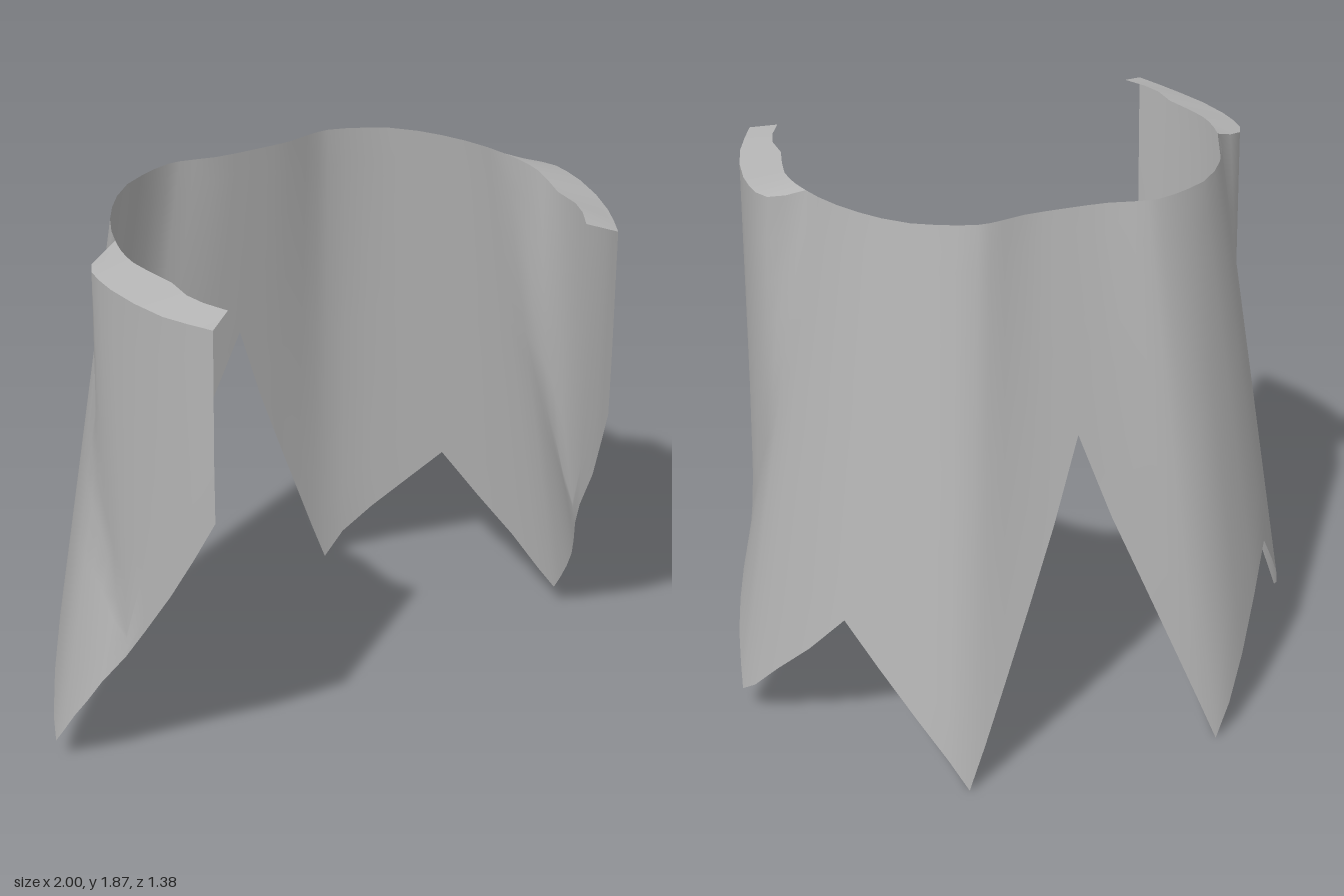
import * as THREE from 'three';

// Back half-section from the centre to the side point: top x, z, then hem x, y, z
const BACK = [
  [0, -0.40, 0, 1.14, -0.52],
  [0.07, -0.40, 0.10, 0.85, -0.565],
  [0.14, -0.404, 0.20, 0.60, -0.61],
  [0.21, -0.42, 0.30, 0.35, -0.65],
  [0.26, -0.43, 0.38, 0.15, -0.68],
  [0.30, -0.43, 0.44, 0, -0.695],
  [0.36, -0.412, 0.50, 0.11, -0.665],
  [0.42, -0.385, 0.58, 0.24, -0.585],
  [0.49, -0.345, 0.67, 0.39, -0.475],
  [0.56, -0.275, 0.75, 0.53, -0.37],
  [0.61, -0.205, 0.84, 0.38, -0.26],
  [0.655, -0.125, 0.92, 0.25, -0.14],
  [0.69, -0.04, 0.975, 0.14, -0.04],
  [0.71, 0.03, 1.0, 0.09, 0.03],
];

// Front half-section: collar edge x, z; shoulder x, y, z; fold x, y, z; hem x, y, z
const FRONT = [
  [0.718, 0.065, 0.77, 1.85, 0.058, 0.85, 1.0, 0.08, 0.99, 0.16, 0.08],
  [0.725, 0.10, 0.82, 1.84, 0.09, 0.85, 0.95, 0.13, 0.975, 0.25, 0.14],
  [0.73, 0.15, 0.843, 1.84, 0.14, 0.853, 0.86, 0.19, 0.95, 0.34, 0.20],
  [0.73, 0.20, 0.848, 1.84, 0.20, 0.855, 0.74, 0.25, 0.92, 0.43, 0.25],
  [0.715, 0.28, 0.845, 1.84, 0.28, 0.855, 0.64, 0.32, 0.865, 0.56, 0.33],
  [0.69, 0.38, 0.825, 1.84, 0.40, 0.828, 0.90, 0.40, 0.83, 0.68, 0.40],
  [0.69, 0.48, 0.79, 1.84, 0.52, 0.79, 1.10, 0.52, 0.79, 0.87, 0.52],
  [0.67, 0.55, 0.75, 1.845, 0.61, 0.75, 1.25, 0.61, 0.75, 1.04, 0.61],
  [0.63, 0.63, 0.71, 1.85, 0.69, 0.715, 1.40, 0.69, 0.715, 1.20, 0.69],
];
const TOP = 1.87;
const v = (x, y, z) => new THREE.Vector3(x, y, z);

// Each column runs edge, shoulder, fold, hem
function halfColumns() {
  const back = BACK.map(([tx, tz, hx, hy, hz]) => {
    const top = v(tx, TOP, tz), hem = v(hx, hy, hz);
    return [top, top.clone(), top.clone().lerp(hem, 0.46), hem];
  });
  const front = FRONT.map(([ex, ez, ...p]) => [
    v(ex, TOP, ez), v(p[0], p[1], p[2]), v(p[3], p[4], p[5]), v(p[6], p[7], p[8]),
  ]);
  return [...back, ...front];
}

const mirror = (column) => column.map((p) => v(-p.x, p.y, p.z));

// Skin a grid of columns with smooth normals
function skin(columns) {
  const rows = columns[0].length, index = [];
  for (let i = 0; i < columns.length - 1; i++) {
    for (let j = 0; j < rows - 1; j++) {
      const a = i * rows + j, b = a + rows;
      index.push(a, a + 1, b, b, a + 1, b + 1);
    }
  }
  const geometry = new THREE.BufferGeometry().setFromPoints(columns.flat());
  geometry.setIndex(index);
  geometry.computeVertexNormals();
  return geometry;
}

// Subdivide the cloth between shoulder, fold and hem
function clothColumn([, shoulder, fold, hem]) {
  const points = [];
  for (let k = 0; k < 6; k++) points.push(shoulder.clone().lerp(fold, k / 6));
  for (let k = 0; k <= 4; k++) points.push(fold.clone().lerp(hem, k / 4));
  return points;
}

export function createModel() {
  const cloth = new THREE.MeshStandardMaterial({ color: 0xb4b4b4, side: THREE.DoubleSide });
  cloth.name = 'grey cloth';
  const group = new THREE.Group();
  group.name = 'pointedCape';
  const add = (name, columns) => {
    const mesh = new THREE.Mesh(skin(columns), cloth);
    mesh.name = name;
    group.add(mesh);
  };

  // Open wrap with a pointed hem, from the left front round the back to the right front
  const half = halfColumns();
  const whole = [...half.slice(1).reverse(), ...half.map(mirror)];
  add('capeCloth', whole.map(clothColumn));

  // Narrow ledges turned inwards over the shoulders
  const ledge = half.slice(BACK.length - 1).map((c) => c.slice(0, 2));
  add('leftShoulderLedge', [...ledge].reverse());
  add('rightShoulderLedge', ledge.map(mirror));
  return group;
}
